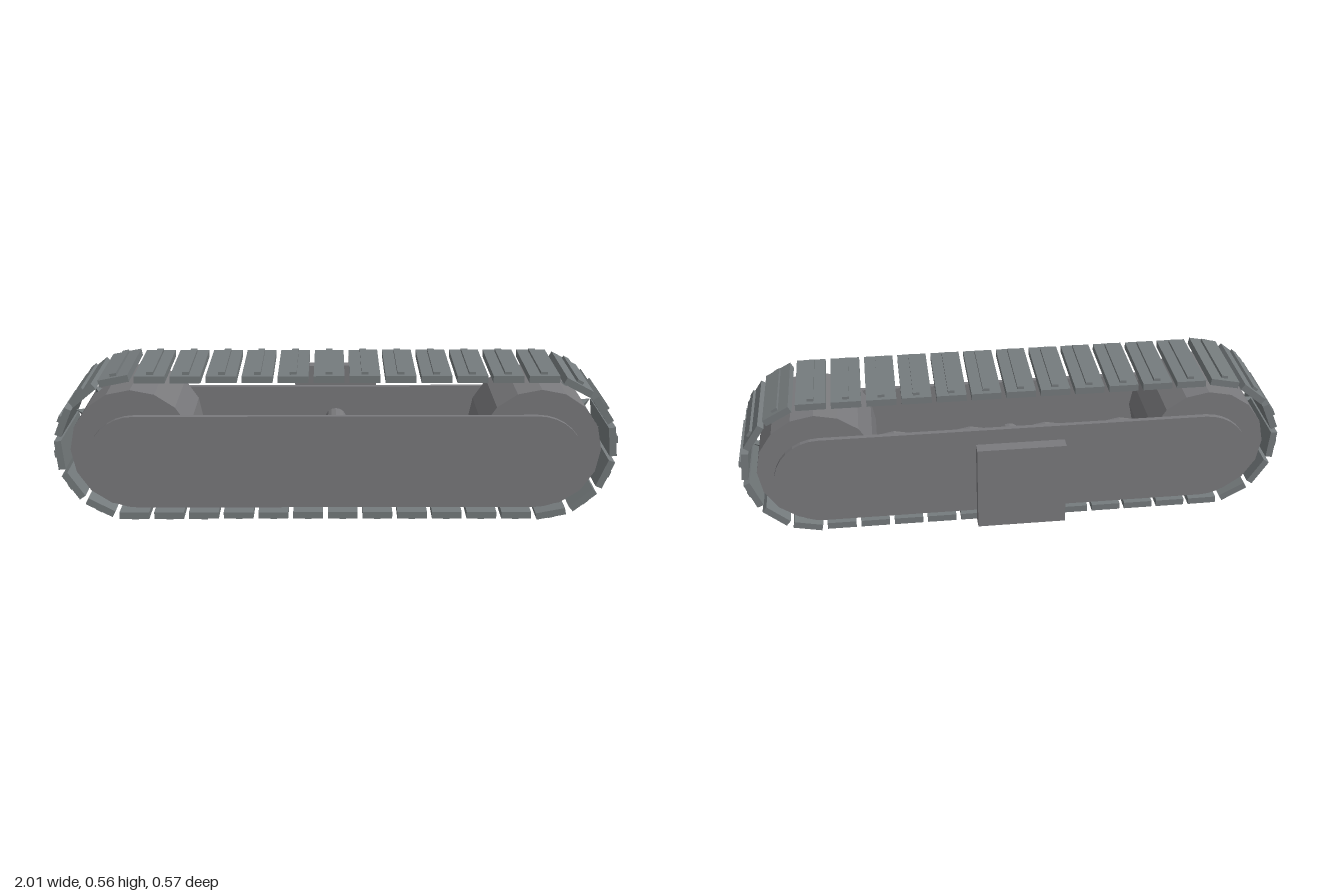
import * as THREE from 'three';

const MID_Z = 0.098;      // middle of the track width
const TRACK_W = 0.344;
const AXIS_Y = 0.279;     // height of the track loop centre
const HALF = 0.725;       // half length of the straight runs
const RADIUS = 0.2555;    // loop radius at the middle of a pad
const PADS = 36;

const frameMaterial = new THREE.MeshStandardMaterial({ color: 0x7a7a7d, flatShading: true });
const trackMaterial = new THREE.MeshStandardMaterial({ color: 0x757b7d, flatShading: true });

function add(parent, name, geometry, material, x = 0, y = 0, z = 0) {
  const mesh = new THREE.Mesh(geometry, material);
  mesh.name = name;
  mesh.position.set(x, y, z);
  parent.add(mesh);
}

// Cylinder lying along z
function disc(radius, width, sides) {
  return new THREE.CylinderGeometry(radius, radius, width, sides).rotateX(Math.PI / 2);
}

// Point and outward angle (clockwise from up) at distance s along the track loop
function loopAt(s) {
  const run = 2 * HALF, arc = Math.PI * RADIUS, half = run + arc;
  const flip = s >= half;
  const t = flip ? s - half : s;
  let x, y, angle = 0;
  if (t < run) {
    x = t - HALF;
    y = RADIUS;
  } else {
    angle = (t - run) / RADIUS;
    x = HALF + RADIUS * Math.sin(angle);
    y = RADIUS * Math.cos(angle);
  }
  return flip ? { x: -x, y: -y, angle: angle + Math.PI } : { x, y, angle };
}

// Long plate with rounded ends
function sidePlateGeometry() {
  const r = 0.171, half = 0.71;
  const shape = new THREE.Shape();
  shape.absarc(half, 0, r, -Math.PI / 2, Math.PI / 2, false);
  shape.absarc(-half, 0, r, Math.PI / 2, Math.PI * 1.5, false);
  shape.closePath();
  return new THREE.ExtrudeGeometry(shape, { depth: 0.019, bevelEnabled: false, curveSegments: 8 });
}

export function createModel() {
  const model = new THREE.Group();
  model.name = 'trackUnit';

  // Track: pads with an outer grouser bar and an inner guide tooth
  const track = new THREE.Group();
  track.name = 'track';
  model.add(track);
  const padGeo = new THREE.BoxGeometry(0.107, 0.025, TRACK_W);
  const barGeo = new THREE.BoxGeometry(0.024, 0.012, 0.307);
  const toothGeo = new THREE.ConeGeometry(0.02, 0.04, 4);
  const length = 4 * HALF + 2 * Math.PI * RADIUS;
  for (let i = 0; i < PADS; i++) {
    const p = loopAt(((i + 0.6) / PADS) * length);
    const link = new THREE.Group();
    link.name = 'trackLink';
    link.position.set(p.x, AXIS_Y + p.y, MID_Z);
    link.rotation.z = -p.angle;
    add(link, 'pad', padGeo, trackMaterial);
    add(link, 'grouser', barGeo, trackMaterial, 0, 0.0165);
    add(link, 'guideTooth', toothGeo, trackMaterial, 0, -0.036);
    track.add(link);
  }

  // Large end wheels
  for (const side of [-1, 1]) {
    add(model, 'endWheel', disc(0.22, 0.338, 16), frameMaterial, side * 0.72, 0.276, MID_Z);
  }

  // Narrow road wheels along the bottom run
  for (let i = 0; i < 4; i++) {
    add(model, 'roadWheel', disc(0.125, 0.1, 16), frameMaterial, (i - 1.5) * 0.29, 0.162, MID_Z);
  }

  // Side plates
  const plateGeo = sidePlateGeometry();
  add(model, 'frontSidePlate', plateGeo, frameMaterial, 0, 0.234, 0.269);
  add(model, 'backSidePlate', plateGeo, frameMaterial, 0, 0.234, -0.091);

  // Axle from the middle of the frame to the mounting plate
  add(model, 'axle', disc(0.04, 0.343, 16), frameMaterial, 0, AXIS_Y, -0.0735);
  add(model, 'mountingPlate', new THREE.BoxGeometry(0.315, 0.315, 0.046), frameMaterial, 0, AXIS_Y, -0.264);

  return model;
}
